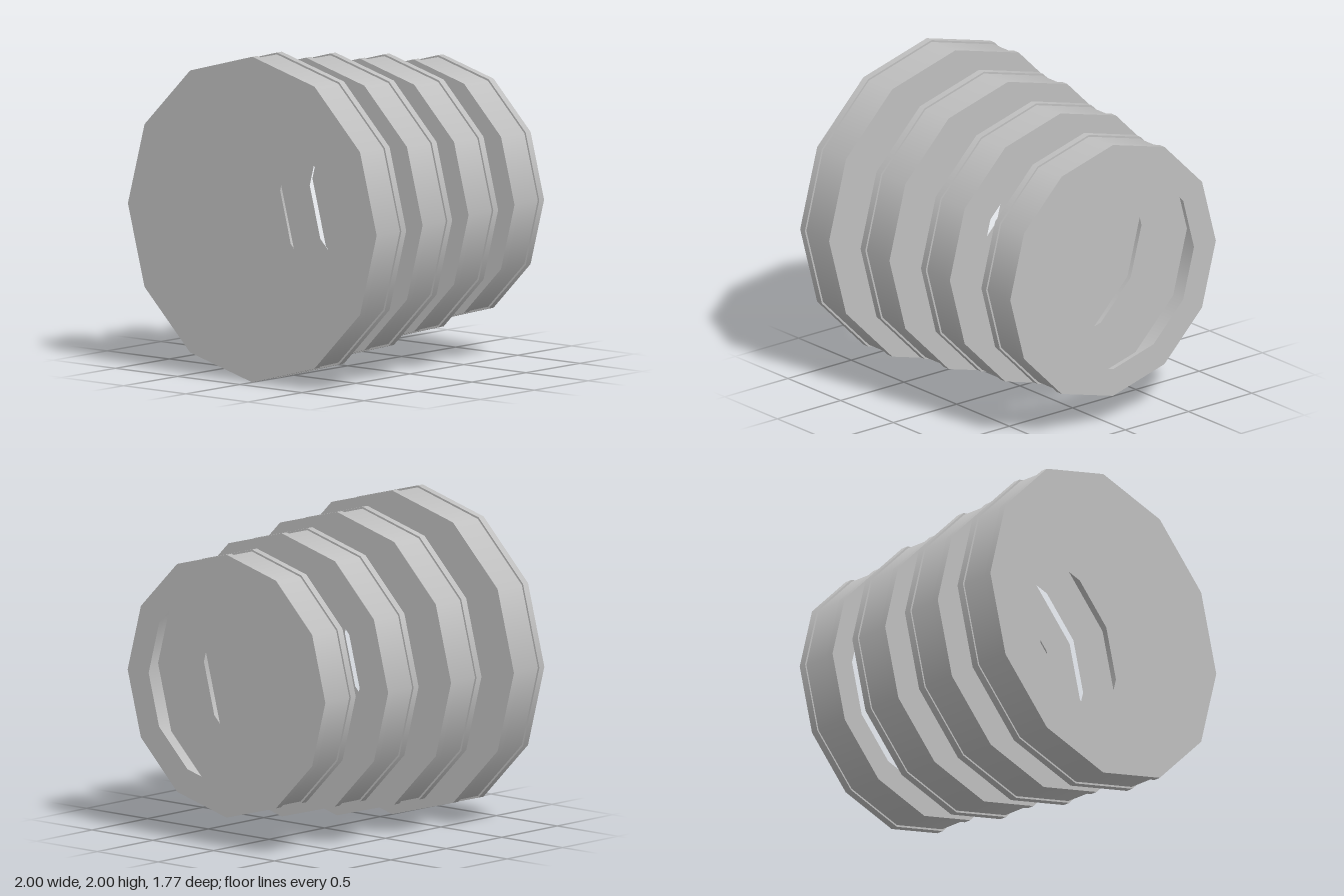
import * as THREE from 'three';
import { mergeGeometries } from 'three/addons/utils/BufferGeometryUtils.js';

const SIDES = 12;
const INNER = 0.64;   // bore radius shared by all rings
const HALF = 0.137;   // half the depth of a ring
const LIP = 0.045;    // depth of each raised lip
const INSET = 0.012;  // how far the tread sits below the lips

// Sweep each profile segment on its own: smooth around, crisp along the profile
function channelRing(radius) {
  const tread = radius - INSET;
  const profile = [
    [INNER, -HALF], [radius, -HALF], [radius, LIP - HALF], [tread, LIP - HALF],
    [tread, HALF - LIP], [radius, HALF - LIP], [radius, HALF], [INNER, HALF],
  ].map(([r, d]) => new THREE.Vector2(r, d));
  const bands = [];
  for (let i = 0; i < profile.length - 1; i++) {
    bands.push(new THREE.LatheGeometry([profile[i], profile[i + 1]], SIDES));
  }
  return mergeGeometries(bands).rotateX(Math.PI / 2);
}

export function createModel() {
  const group = new THREE.Group();
  group.name = 'taperedRings';
  const grey = new THREE.MeshStandardMaterial({ color: 0xc0c0c0, side: THREE.DoubleSide });
  grey.name = 'lightGrey';

  // Four rings, open on the inside, shrinking from front to back
  for (let i = 0; i < 4; i++) {
    const ring = new THREE.Mesh(channelRing(1 - 0.0625 * i), grey);
    ring.name = `ring${i + 1}`;
    ring.position.set(0, 1, 0.747 - 0.498 * i);
    group.add(ring);
  }
  return group;
}
